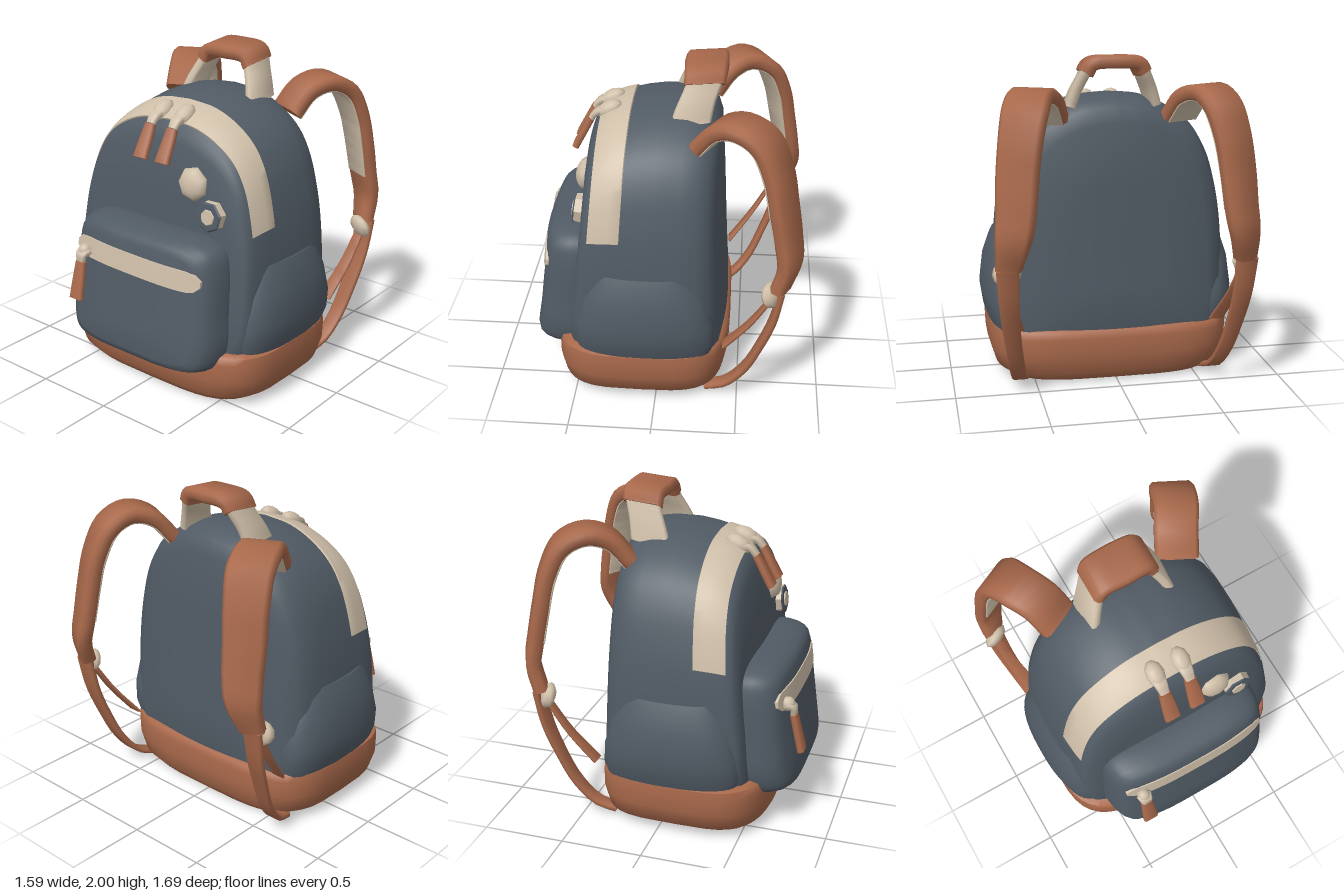
import * as THREE from 'three';
import { toCreasedNormals } from 'three/addons/utils/BufferGeometryUtils.js';

const V = (x, y, z) => new THREE.Vector3(x, y, z);
const lerp = THREE.MathUtils.lerp;

const makeMat = (name, hex) => {
  const m = new THREE.MeshStandardMaterial({ color: hex });
  m.name = name;
  return m;
};

// Skin closed rings into a capped solid whose faces always point outward.
function loft(rings, crease = 0.8) {
  const n = rings[0].length, pos = [], idx = [];
  rings.forEach(r => r.forEach(p => pos.push(p.x, p.y, p.z)));
  for (let i = 0; i < rings.length - 1; i++) {
    for (let j = 0; j < n; j++) {
      const a = i * n + j, b = i * n + (j + 1) % n;
      idx.push(a, b, a + n, b, b + n, a + n);
    }
  }
  [0, rings.length - 1].forEach((i, end) => {
    const c = V(0, 0, 0);
    rings[i].forEach(p => c.addScaledVector(p, 1 / n));
    const k = pos.length / 3;
    pos.push(c.x, c.y, c.z);
    for (let j = 0; j < n; j++) {
      const a = i * n + j, b = i * n + (j + 1) % n;
      idx.push(...(end ? [a, b, k] : [b, a, k]));
    }
  });
  const at = i => V(pos[i * 3], pos[i * 3 + 1], pos[i * 3 + 2]);
  let volume = 0;
  for (let i = 0; i < idx.length; i += 3) volume += at(idx[i]).dot(at(idx[i + 1]).cross(at(idx[i + 2])));
  if (volume < 0) idx.reverse();
  const g = new THREE.BufferGeometry();
  g.setAttribute('position', new THREE.Float32BufferAttribute(pos, 3));
  g.setIndex(idx);
  return toCreasedNormals(g, crease);
}

// Horizontal rounded rectangle ring
function roundRing(cx, y, cz, hx, hz, power, n = 40) {
  return Array.from({ length: n }, (_, i) => {
    const a = i / n * Math.PI * 2, c = Math.cos(a), s = Math.sin(a);
    return V(cx + hx * Math.sign(c) * Math.abs(c) ** (2 / power), y, cz + hz * Math.sign(s) * Math.abs(s) ** (2 / power));
  });
}

// Bevelled flat strip swept along a path; half = half width at points along it
function strip(points, across, half, thick, shift = 0, steps = 24) {
  const curve = new THREE.CatmullRomCurve3(points.map(p => V(...p)));
  const w = V(...across).normalize(), rings = [];
  for (let i = 0; i <= steps; i++) {
    const t = i / steps, f = t * (half.length - 1), k = Math.min(Math.floor(f), half.length - 2);
    const hw = lerp(half[k], half[k + 1], f - k), ht = thick / 2, b = ht * 0.5;
    const nrm = curve.getTangentAt(t).cross(w).normalize();
    const c = curve.getPointAt(t).addScaledVector(nrm, shift);
    rings.push([[hw, ht - b], [hw - b, ht], [b - hw, ht], [-hw, ht - b], [-hw, b - ht], [b - hw, -ht], [hw - b, -ht], [hw, b - ht]]
      .map(([x, y]) => c.clone().addScaledVector(w, x).addScaledVector(nrm, y)));
  }
  return loft(rings, 0.9);
}

// Closed outline mirrored from right-hand points running bottom to top
function outline(half, steps) {
  const pts = new THREE.CatmullRomCurve3(half.map(p => V(p[0], p[1], 0))).getPoints(steps);
  return [...pts, ...pts.slice(1, -1).reverse().map(p => V(-p.x, p.y, 0))];
}

// Main body: arched outline, scaled by s and placed between bowed, sloping back and front by t.
// Towards the front it narrows less in width than in height.
const ARCH = outline([[0, 0.15], [0.6, 0.15], [0.69, 0.3], [0.705, 0.7], [0.685, 1.0], [0.65, 1.2], [0.59, 1.4],
  [0.5, 1.55], [0.36, 1.66], [0.2, 1.725], [0, 1.745]], 50);
const BODY = [[0.4, 0], [0.82, 0.005], [0.93, 0.04], [0.98, 0.12], [1, 0.25], [1, 0.45], [0.98, 0.6], [0.958, 0.7], [0.94, 0.78],
  [0.91, 0.87], [0.865, 0.935], [0.82, 0.97], [0.74, 0.995], [0.4, 1]];
const bodyFront = (x, y) => 0.6 - 0.11 * y - 0.04 * (x / 0.7) ** 2;
const bodyBack = (x, y) => -0.44 + 0.05 * y + 0.05 * (x / 0.6) ** 2;
function bodyPoint(p, s, t) {
  const x = p.x * (t > 0.5 ? 1 - 0.35 * (1 - s) : s), y = 0.9 + (p.y - 0.9) * s;
  return V(x, y, lerp(bodyBack(x, y), bodyFront(x, y), t));
}

// Front pocket
const POCKET = outline([[0, 0.22], [0.4, 0.225], [0.52, 0.26], [0.565, 0.38], [0.56, 0.6], [0.545, 0.85],
  [0.51, 0.97], [0.42, 1.02], [0, 1.035]], 40);
const pocketFront = (x, y) => 0.83 - 0.135 * y - 0.05 * (Math.abs(x) / 0.5) ** 3;
function pocketPoint(p, s, t) {
  const x = p.x * s, y = 0.62 + (p.y - 0.62) * s;
  return V(x, y, lerp(0.4, pocketFront(x, y), t));
}

export function createModel() {
  const root = new THREE.Group();
  root.name = 'backpack';
  const slate = makeMat('slate fabric', 0x515b65);
  const leather = makeMat('brown leather', 0xa9694b);
  const tan = makeMat('tan trim', 0xcfbfa9);
  const add = (name, geo, mat, parent = root) => {
    const m = new THREE.Mesh(geo, mat);
    m.name = name;
    parent.add(m);
    return m;
  };

  add('body', loft(BODY.map(([s, t]) => ARCH.map(p => bodyPoint(p, s, t))), 1.2), slate);

  // Leather base
  add('base', loft([[0, 0.57, 0.43], [0.015, 0.64, 0.48], [0.07, 0.72, 0.52], [0.18, 0.755, 0.54], [0.29, 0.76, 0.54],
    [0.335, 0.755, 0.53], [0.35, 0.72, 0.5]].map(([y, hx, hz]) => roundRing(0, y, 0.1, hx, hz, 3.9)), 1), leather);

  // Zip band over the front shoulder of the body
  const bandRows = BODY.slice(7, 11);
  add('mainZipBand', loft(ARCH.filter(p => p.y >= 1.06).map(p => [
    ...bandRows.map(([s, t]) => bodyPoint(p, s + 0.012, t + 0.004)),
    ...bandRows.map(([s, t]) => bodyPoint(p, s - 0.03, t - 0.02)).reverse()]), 0.9), tan);

  add('frontPocket', loft([[0.96, 0], [1, 0.3], [0.995, 0.5], [0.975, 0.72], [0.94, 0.87], [0.89, 0.96], [0.8, 1], [0.4, 1]]
    .map(([s, t]) => POCKET.map(p => pocketPoint(p, s, t))), 1.2), slate);

  // Pocket zip strip, rounded at both ends
  const zipRings = [];
  for (let i = 0; i <= 24; i++) {
    const u = i / 24 * 2 - 1, x = u * 0.485, y = 0.828 - 0.008 * u;
    const h = 0.062 * Math.max(0.3, (1 - Math.abs(u) ** 14) ** 0.5);
    zipRings.push([[h, 0.006], [-h, 0.006], [-h, -0.04], [h, -0.04]].map(([dy, dz]) => V(x, y + dy, pocketFront(x, y + dy) + dz)));
  }
  add('pocketZipBand', loft(zipRings, 0.6), tan);

  // Zip sliders with leather pulls
  const zipPull = (name, x, top, bottom, slider, size) => {
    const g = new THREE.Group();
    g.name = name;
    root.add(g);
    add('pull', strip([[x, ...top], [x, lerp(top[0], bottom[0], 0.5), lerp(top[1], bottom[1], 0.5)], [x, ...bottom]],
      [1, 0, 0], [0.036, 0.044, 0.049], 0.04, 0, 6), leather, g);
    const s = add('slider', new THREE.SphereGeometry(1, 10, 7), tan, g);
    s.scale.set(...size);
    s.rotation.x = 0.5;
    s.position.set(x, ...slider);
    add('sliderLoop', strip([[x, ...slider], [x, (slider[0] + top[0]) / 2 + 0.015, (slider[1] + top[1]) / 2 + 0.015], [x, ...top]],
      [1, 0, 0], [0.05, 0.028], 0.035, 0, 6), tan, g);
  };
  zipPull('mainZipPullRight', -0.09, [1.605, 0.43], [1.42, 0.53], [1.665, 0.32], [0.058, 0.05, 0.085]);
  zipPull('mainZipPullLeft', 0.078, [1.605, 0.43], [1.42, 0.53], [1.665, 0.32], [0.058, 0.05, 0.085]);
  zipPull('pocketZipPull', -0.39, [0.75, 0.755], [0.52, 0.81], [0.81, 0.715], [0.042, 0.045, 0.045]);

  // Two badges on the upper front: a dome and a ring
  const disc = (name, r1, r2, depth, x, y, lift, mat) => {
    const m = add(name, toCreasedNormals(new THREE.CylinderGeometry(r1, r2, depth, 7), 0.5), mat);
    m.rotation.x = Math.PI / 2 - 0.11;
    m.position.set(x, y, bodyFront(x, y) + lift);
  };
  const dome = add('domeBadge', new THREE.SphereGeometry(0.103, 7, 5, 0, Math.PI * 2, 0, Math.PI / 2), tan);
  dome.scale.y = 0.6;
  dome.rotation.x = Math.PI / 2 - 0.11;
  dome.position.set(0.25, 1.315, bodyFront(0.25, 1.315) - 0.003);
  disc('ringBadge', 0.085, 0.095, 0.06, 0.4, 1.16, 0.01, tan);
  disc('ringBadgeFace', 0.084, 0.093, 0.009, 0.4, 1.16, 0.043, slate);
  disc('ringBadgeCentre', 0.045, 0.05, 0.009, 0.4, 1.16, 0.051, tan);

  // Carry handle
  add('handleGrip', strip([[-0.175, 1.88, -0.25], [-0.14, 1.935, -0.255], [0, 1.947, -0.255], [0.14, 1.935, -0.255], [0.175, 1.88, -0.25]],
    [0, -0.08, 1], [0.12, 0.13, 0.12], 0.08), leather);

  for (const s of [1, -1]) {
    const side = s > 0 ? 'Left' : 'Right';
    const m = pts => pts.map(([x, y, z]) => [x * s, y, z]);

    add('handleLeg' + side, strip(m([[0.26, 1.66, -0.17], [0.225, 1.77, -0.2], [0.18, 1.87, -0.24], [0.165, 1.91, -0.25]]),
      [0, -0.2, 1], [0.125, 0.115, 0.11], 0.055, 0, 10), tan);

    // Side pocket bulging from the flank
    add('sidePocket' + side, loft([[0.3, 0.14, 0.4], [0.4, 0.178, 0.43], [0.52, 0.196, 0.42], [0.7, 0.175, 0.37], [0.82, 0.135, 0.31],
      [0.865, 0.115, 0.28], [0.855, 0.085, 0.26]].map(([y, hx, hz]) => roundRing(s * 0.6, y, 0.07, hx, hz, 2.5)), 1), slate);

    // Padded shoulder strap with tan lining on the inner face
    const path = m([[0.4, 1.62, -0.26], [0.45, 1.745, -0.36], [0.52, 1.785, -0.48], [0.57, 1.72, -0.61], [0.61, 1.55, -0.69],
      [0.635, 1.35, -0.73], [0.65, 1.15, -0.765], [0.67, 1.0, -0.78], [0.69, 0.84, -0.73]]);
    const out = [0.89 * s, 0, 0.45];
    add('shoulderStrap' + side, strip(path, out, [0.13, 0.13, 0.135, 0.125, 0.12, 0.11, 0.075], 0.09, 0, 32), leather);
    add('strapLining' + side, strip(path.slice(0, 7), out, [0.11, 0.11, 0.115, 0.105, 0.095], 0.012, s * 0.044, 28), tan);

    // Buckle and lower webbing
    const buckle = add('strapBuckle' + side, new THREE.SphereGeometry(1, 8, 6), tan);
    buckle.scale.set(0.09, 0.075, 0.045);
    buckle.position.set(s * 0.7, 0.805, -0.68);
    buckle.rotation.set(0.4, -s * 0.45, 0);
    add('upperWebbing' + side, strip(m([[0.7, 0.77, -0.68], [0.67, 0.57, -0.56], [0.62, 0.37, -0.41]]), [1, 0, 0], [0.03, 0.045], 0.018, 0, 8), leather);
    add('lowerWebbing' + side, strip(m([[0.7, 0.84, -0.74], [0.69, 0.62, -0.7], [0.67, 0.42, -0.63], [0.64, 0.22, -0.54], [0.61, 0.08, -0.42],
      [0.58, 0.03, -0.3]]), [1, 0, 0], [0.065, 0.05, 0.045], 0.035, 0, 16), leather);
  }
  return root;
}
